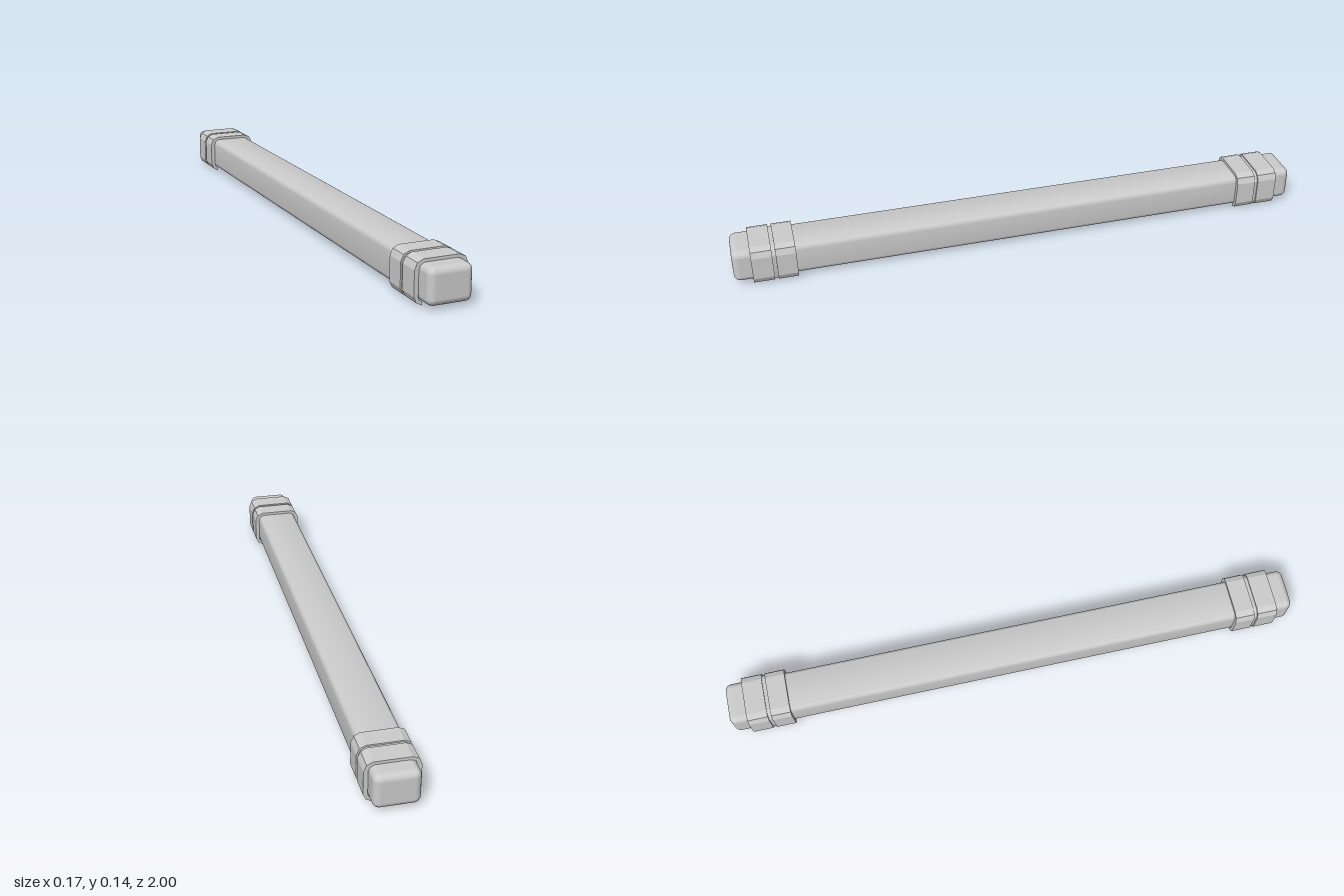
import * as THREE from 'three';
import { toCreasedNormals } from 'three/addons/utils/BufferGeometryUtils.js';
import { RoundedBoxGeometry } from 'three/addons/geometries/RoundedBoxGeometry.js';

const material = new THREE.MeshStandardMaterial({ color: 0xcccccc });
const BOTTOM = 0.012, TOP = 0.128, HALF_W = 0.072, R = 0.022;

function part(name, geometry) {
  const mesh = new THREE.Mesh(geometry, material);
  mesh.name = name;
  return mesh;
}

// Extrude a cross-section from z0 to z1
function extrude(shape, z0, z1, crease) {
  const g = new THREE.ExtrudeGeometry(shape, { depth: z1 - z0, bevelEnabled: false, curveSegments: 6 });
  g.translate(0, 0, z0);
  return toCreasedNormals(g, crease);
}

// Rounded bar section with a channel along the underside
function barSection() {
  const w = HALF_W, s = new THREE.Shape();
  s.moveTo(0.04, BOTTOM);
  s.lineTo(w - R, BOTTOM);
  s.absarc(w - R, BOTTOM + R, R, -Math.PI / 2, 0, false);
  s.absarc(w - R, TOP - R, R, 0, Math.PI / 2, false);
  s.absarc(-w + R, TOP - R, R, Math.PI / 2, Math.PI, false);
  s.absarc(-w + R, BOTTOM + R, R, Math.PI, Math.PI * 1.5, false);
  s.lineTo(-0.04, BOTTOM);
  s.lineTo(-0.034, BOTTOM + 0.02);
  s.lineTo(0.034, BOTTOM + 0.02);
  return s;
}

// Open-bottomed clip section; inset thins the outside
function clipSection(inset) {
  const i = inset;
  const outer = [[0.06, i], [0.078, 0.009 + i], [0.087 - i, 0.028], [0.087 - i, 0.108],
    [0.078 - i, 0.129 - i], [0.058, 0.138 - i]];
  const inner = [[0.05, 0.127], [0.068, 0.121], [0.073, 0.106], [0.073, 0.028], [0.069, 0.017], [0.06, 0.011]];
  const mirror = (pts) => pts.map(([x, y]) => [-x, y]).reverse();
  const loop = [...outer, ...mirror(outer), ...mirror(inner), ...inner];
  return new THREE.Shape(loop.map(([x, y]) => new THREE.Vector2(x, y)));
}

export function createModel() {
  const model = new THREE.Group();
  model.name = 'clippedBar';
  model.add(part('bar', extrude(barSection(), -0.94, 0.94, 0.7)));

  for (const side of [1, -1]) {
    const end = new THREE.Group();
    end.name = side > 0 ? 'frontEnd' : 'backEnd';

    // Rounded solid cap
    const cap = part('endCap', new RoundedBoxGeometry(HALF_W * 2, TOP - BOTTOM, 0.1, 5, R));
    cap.position.set(0, (TOP + BOTTOM) / 2, 0.95);
    end.add(cap);

    // Two clip bands joined by a thinner web
    end.add(part('innerBand', extrude(clipSection(0), 0.79, 0.857, 0.3)));
    end.add(part('bandWeb', extrude(clipSection(0.005), 0.857, 0.869, 0.3)));
    end.add(part('outerBand', extrude(clipSection(0), 0.869, 0.939, 0.3)));

    if (side < 0) end.rotation.y = Math.PI;
    model.add(end);
  }
  return model;
}
